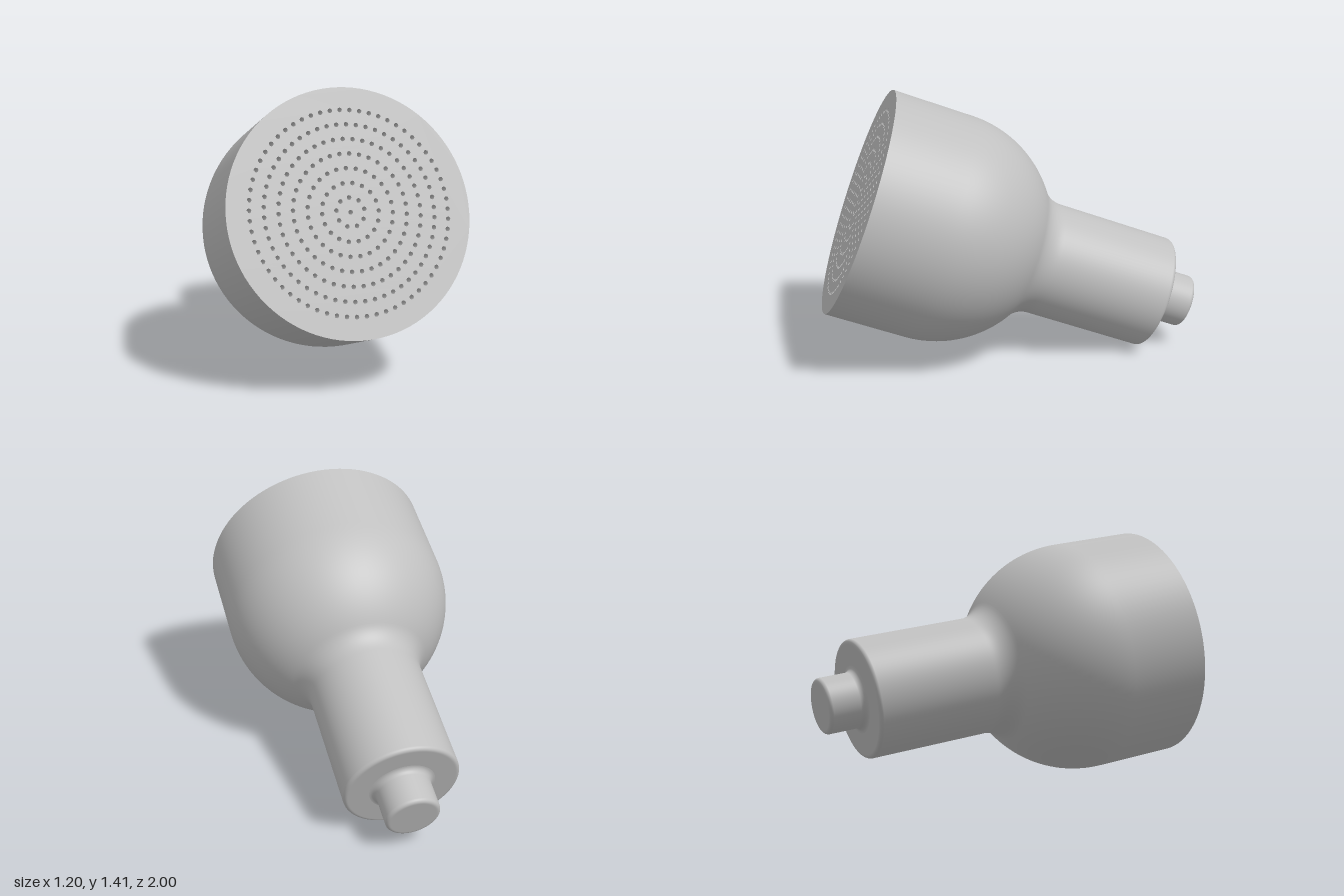
import * as THREE from 'three';
import { mergeGeometries } from 'three/addons/utils/BufferGeometryUtils.js';

const SEGMENTS = 96;
const HOLE_R = 0.0115, HOLE_DEPTH = 0.06, RING_STEP = 0.07, RINGS = 7;

// Points on an arc, angles in degrees
function arc(cx, cy, r, from, to, n) {
  return Array.from({ length: n + 1 }, (_, i) => {
    const a = THREE.MathUtils.degToRad(from + (to - from) * i / n);
    return new THREE.Vector2(cx + r * Math.cos(a), cy + r * Math.sin(a));
  });
}

const pt = (x, y) => new THREE.Vector2(x, y);

// Nozzle centres: one in the middle, then rings of 9, 18, 27 ...
function nozzleCentres() {
  const list = [pt(0, 0)];
  for (let k = 1; k <= RINGS; k++) {
    const n = 9 * k, shift = k % 2 ? 0 : 0.5;
    for (let i = 0; i < n; i++) {
      const a = Math.PI / 2 + (i + shift) / n * Math.PI * 2;
      list.push(pt(Math.cos(a) * k * RING_STEP, Math.sin(a) * k * RING_STEP));
    }
  }
  return list;
}

export function createModel() {
  const grey = new THREE.MeshStandardMaterial({ color: 0xc0c0c0 });
  grey.name = 'light grey';

  // Spray axis is local +y, with the spray face at y = 0
  const shower = new THREE.Group();
  shower.name = 'showerHead';
  const add = (name, geometry) => {
    const mesh = new THREE.Mesh(geometry, grey);
    mesh.name = name;
    shower.add(mesh);
    return mesh;
  };
  const turn = (name, points) => add(name, new THREE.LatheGeometry(points, SEGMENTS));

  // Narrow inlet stub with a rounded end and a filleted root
  turn('inletStub', [
    pt(0, -1.862), pt(0.115, -1.862),
    ...arc(0.12, -1.842, 0.02, -90, 0, 6),
    ...arc(0.17, -1.702, 0.03, 180, 90, 6),
  ]);

  // Neck with a rounded shoulder, flaring into the bowl
  turn('neck', [
    pt(0.17, -1.672), pt(0.275, -1.672),
    ...arc(0.28, -1.652, 0.02, -90, 0, 6),
    pt(0.3, -1.04),
    ...arc(0.45, -1.03, 0.15, 180, 126.87, 12),
  ]);

  // Domed bowl and straight rim
  turn('bowl', [...arc(0, -0.43, 0.6, -53.13, 0, 24), pt(0.6, -0.42), pt(0.6, 0)]);

  // Flat spray face pierced by the nozzles
  const centres = nozzleCentres();
  const disc = new THREE.Shape(arc(0, 0, 0.6, 0, 360 - 360 / SEGMENTS, SEGMENTS - 1));
  for (const c of centres) {
    disc.holes.push(new THREE.Path(arc(c.x, c.y, HOLE_R, 0, -315, 7)));
  }
  add('sprayFace', new THREE.ShapeGeometry(disc)).rotation.x = -Math.PI / 2;

  // Inner walls and floors of the nozzle holes
  const wall = [pt(HOLE_R, 0), pt(HOLE_R, -HOLE_DEPTH)];
  const floor = [pt(HOLE_R, -HOLE_DEPTH), pt(0, -HOLE_DEPTH)];
  const cup = mergeGeometries([wall, floor].map(p => new THREE.LatheGeometry(p, 8, Math.PI / 2)));
  add('nozzleHoles', mergeGeometries(centres.map(c => cup.clone().translate(c.x, 0, -c.y))));

  // Tip the axis 20 degrees above horizontal
  shower.rotation.x = THREE.MathUtils.degToRad(70);
  shower.position.set(0, 0.855, 0.795);

  const model = new THREE.Group();
  model.name = 'model';
  model.add(shower);
  return model;
}
